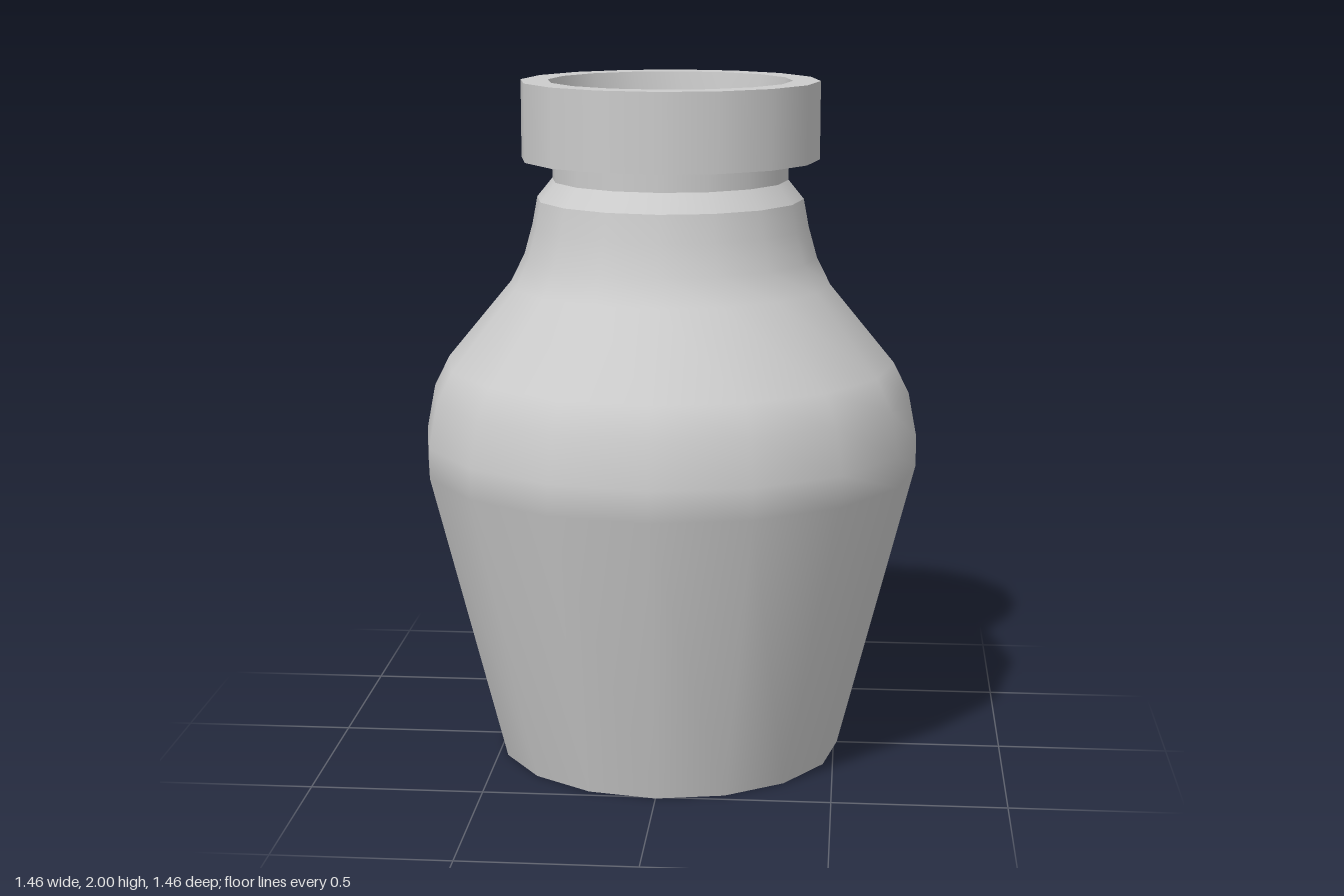
import * as THREE from 'three';

const SIDES = 16;

export function createModel() {
  const group = new THREE.Group();
  const material = new THREE.MeshStandardMaterial({ color: 0xcccccc, side: THREE.DoubleSide });

  // Each band is smooth in itself; the joints between bands stay sharp.
  const band = (name, points) => {
    const profile = points.map(([r, y]) => new THREE.Vector2(r, y));
    const mesh = new THREE.Mesh(new THREE.LatheGeometry(profile, SIDES), material);
    mesh.name = name;
    group.add(mesh);
  };

  // Outer wall, open underneath
  band('body', [
    [0.51, 0], [0.73, 0.87], [0.73, 0.96], [0.705, 1.09], [0.66, 1.18],
    [0.47, 1.41], [0.43, 1.49], [0.405, 1.58], [0.39, 1.66],
  ]);
  band('shoulderBevel', [[0.39, 1.66], [0.345, 1.715]]);
  band('neck', [[0.345, 1.715], [0.345, 1.775]]);

  // Thick collar around the mouth
  band('collarUnderside', [[0.345, 1.775], [0.435, 1.775]]);
  band('collarSide', [[0.435, 1.775], [0.435, 2]]);
  band('collarTop', [[0.435, 2], [0.355, 2]]);

  // Hollow inside, following the outer wall down to a raised floor
  band('innerWall', [
    [0.355, 2], [0.31, 1.64], [0.33, 1.53], [0.38, 1.39], [0.58, 1.14],
    [0.63, 1.04], [0.645, 0.95], [0.635, 0.87], [0.42, 0.04],
  ]);
  band('floor', [[0.42, 0.04], [0, 0.04]]);

  return group;
}
